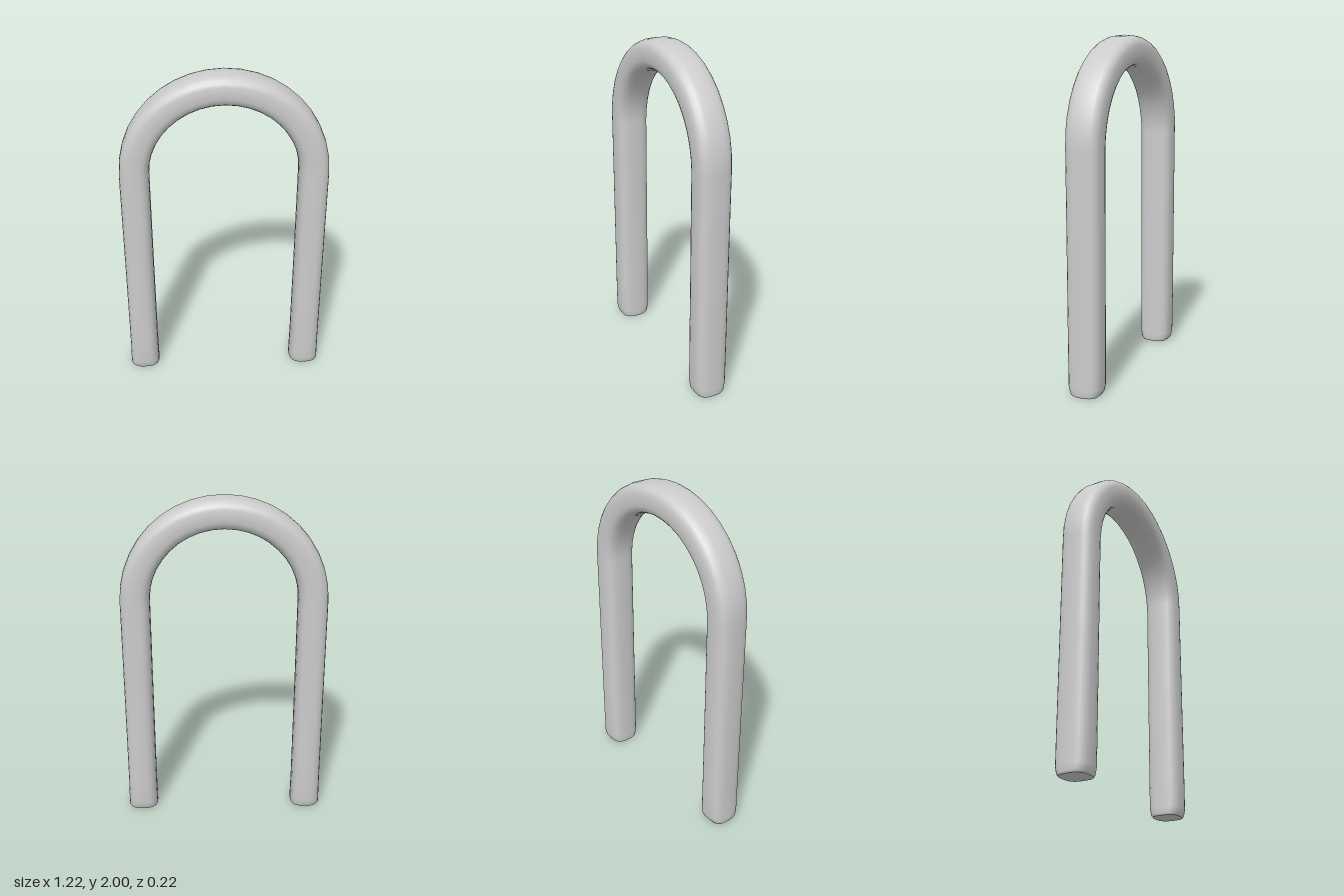
import * as THREE from 'three';

const SIDES = 24, ARCH_STEPS = 20, RADIUS = 0.518, SPRING_Y = 1.392;

// Stations along one leg, foot first: height, half width across, half depth
const LEG = [
  [0, 0.084, 0.082],
  [0.012, 0.091, 0.09],
  [0.05, 0.09, 0.099],
  [0.2, 0.088, 0.101],
  [0.8, 0.087, 0.102],
];

// Rounded-square cross-section offset (superellipse)
function sectionPoint(j, halfWidth, halfDepth) {
  const t = (j / SIDES) * Math.PI * 2, e = 2 / 2.9;
  const c = Math.cos(t), s = Math.sin(t);
  return [
    halfWidth * Math.sign(c) * Math.abs(c) ** e,
    halfDepth * Math.sign(s) * Math.abs(s) ** e,
  ];
}

// Stations from the left foot, over the arch, to the right foot
function stations() {
  const list = LEG.map(([y, w, d]) => ({ x: RADIUS, y, angle: 0, w, d }));
  for (let i = 0; i <= ARCH_STEPS; i++) {
    const angle = (i / ARCH_STEPS) * Math.PI, rise = Math.sin(angle);
    list.push({
      x: RADIUS * Math.cos(angle),
      y: SPRING_Y + RADIUS * rise,
      angle,
      w: 0.087 + 0.003 * rise,
      d: 0.103 + 0.005 * Math.sqrt(Math.abs(rise)),
    });
  }
  for (const [y, w, d] of [...LEG].reverse()) list.push({ x: -RADIUS, y, angle: Math.PI, w, d });
  return list;
}

function ring(s) {
  const points = [];
  for (let j = 0; j < SIDES; j++) {
    const [n, z] = sectionPoint(j, s.w, s.d);
    points.push([s.x + n * Math.cos(s.angle), s.y + n * Math.sin(s.angle), z]);
  }
  return points;
}

function makeGeometry(positions, index) {
  const geometry = new THREE.BufferGeometry();
  geometry.setAttribute('position', new THREE.Float32BufferAttribute(positions.flat(), 3));
  geometry.setIndex(index);
  geometry.computeVertexNormals();
  return geometry;
}

export function createModel() {
  const group = new THREE.Group();
  group.name = 'archedBar';
  const material = new THREE.MeshStandardMaterial({ color: 0xcccccc });
  const add = (name, geometry) => {
    const mesh = new THREE.Mesh(geometry, material);
    mesh.name = name;
    group.add(mesh);
  };

  // Continuous bent bar
  const path = stations(), rings = path.map(ring), index = [];
  for (let i = 0; i < rings.length - 1; i++) {
    for (let j = 0; j < SIDES; j++) {
      const k = (j + 1) % SIDES;
      const a = i * SIDES + j, b = i * SIDES + k, c = a + SIDES, d = b + SIDES;
      index.push(a, c, b, b, c, d);
    }
  }
  add('bentBar', makeGeometry(rings.flat(), index));

  // Flat foot ends
  const footEnd = (name, s, points, flip) => {
    const faces = [];
    for (let j = 0; j < SIDES; j++) {
      const k = (j + 1) % SIDES;
      faces.push(SIDES, flip ? k : j, flip ? j : k);
    }
    add(name, makeGeometry([...points, [s.x, s.y, 0]], faces));
  };
  footEnd('leftFootEnd', path[0], rings[0], false);
  footEnd('rightFootEnd', path.at(-1), rings.at(-1), true);

  return group;
}
